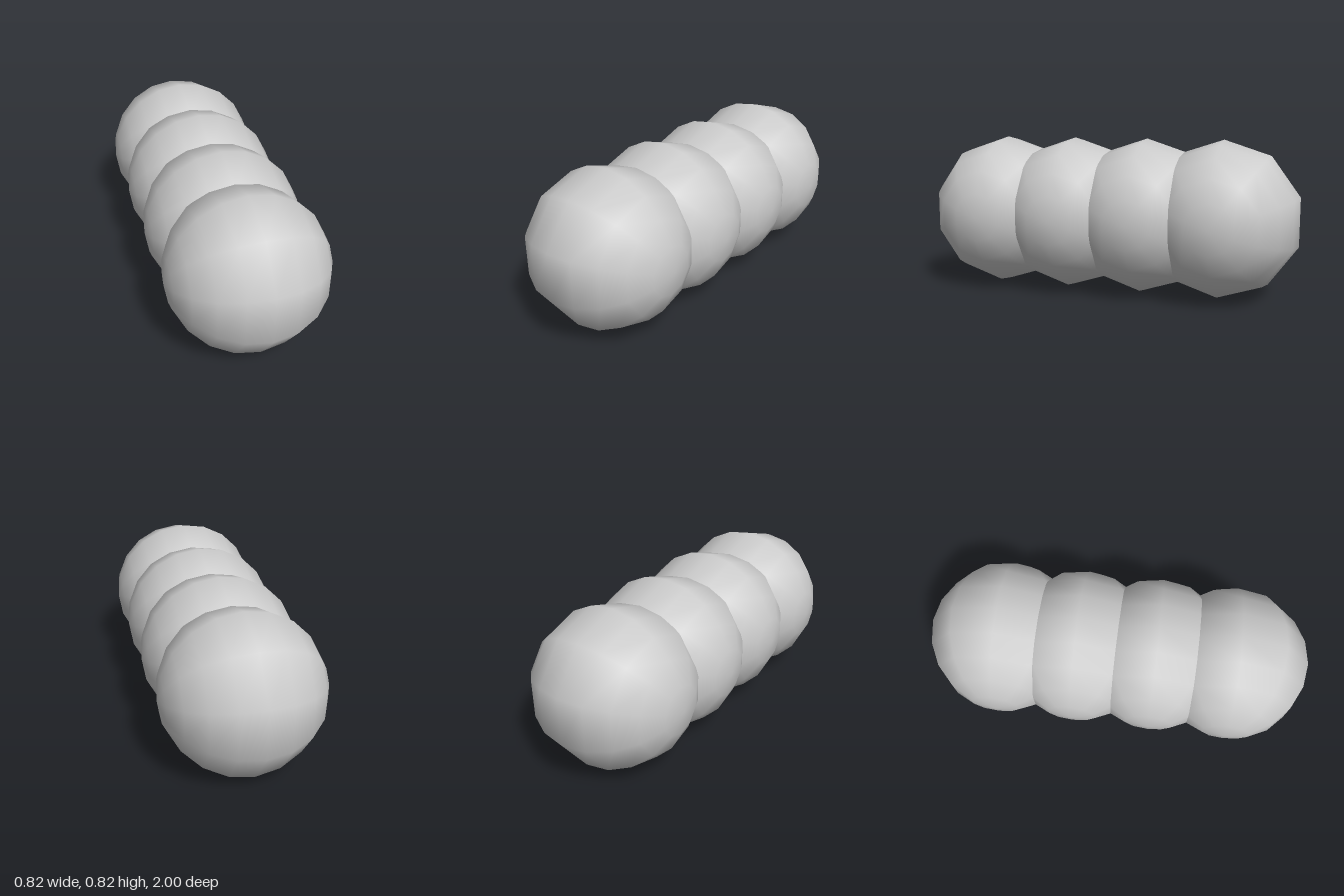
import * as THREE from 'three';

export function createModel() {
  const group = new THREE.Group();
  group.name = 'beadChain';
  const material = new THREE.MeshStandardMaterial({ color: 0xcccccc });

  // Low-poly sphere with its poles on the x axis
  const radius = 0.408;
  const geometry = new THREE.SphereGeometry(radius, 10, 10).rotateZ(Math.PI / 2);

  // Four overlapping spheres in a row, one radius apart
  for (let i = 0; i < 4; i++) {
    const sphere = new THREE.Mesh(geometry, material);
    sphere.name = `sphere${i + 1}`;
    sphere.position.set(0, radius, (1.5 - i) * radius);
    group.add(sphere);
  }
  return group;
}
